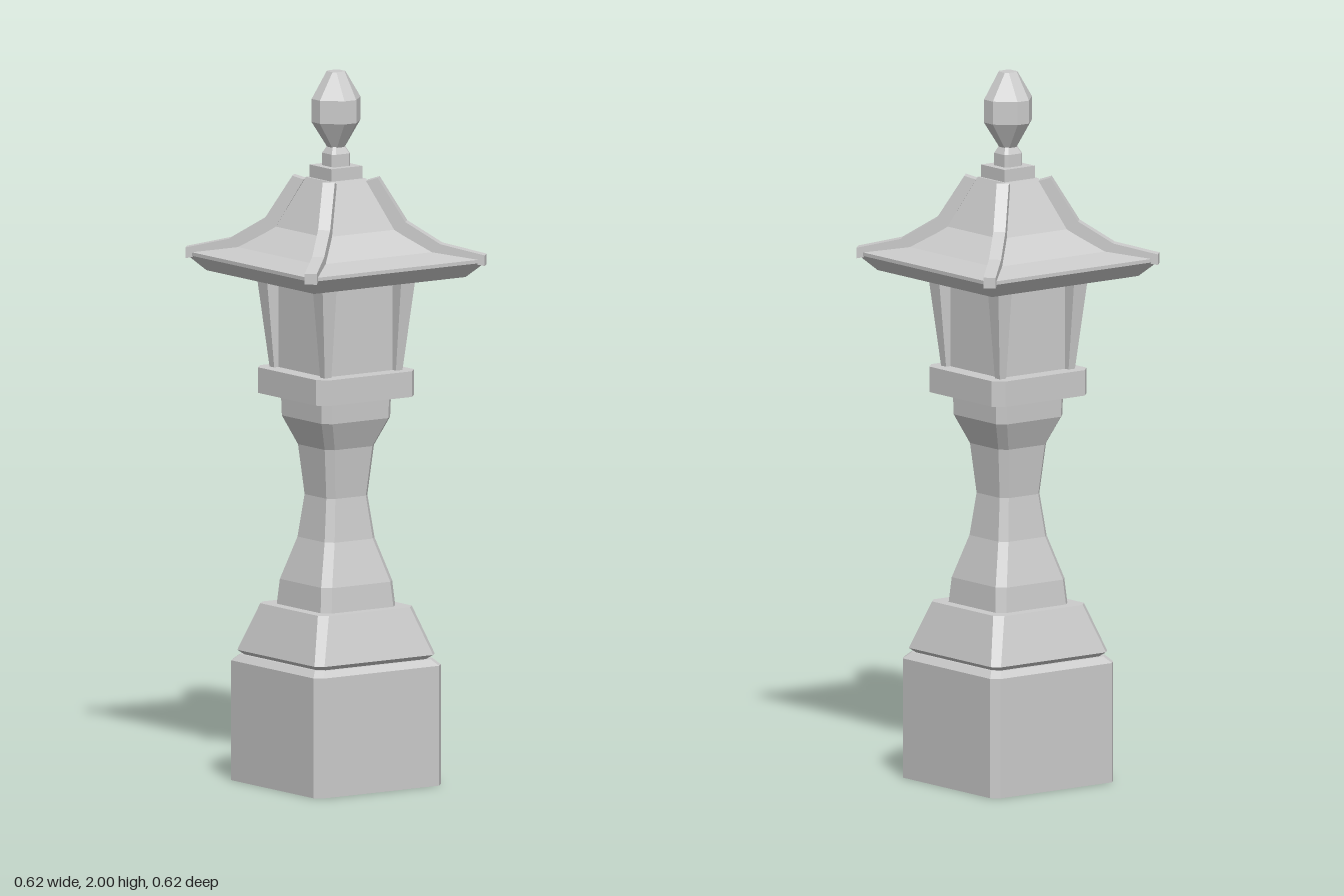
import * as THREE from 'three';

const material = new THREE.MeshStandardMaterial({ color: 0xcccccc, flatShading: true });

// Cross-section: a square of half width h, corners cut by c (c = 0 gives four corners)
function ring([y, h, c, ox = 0, oz = 0]) {
  const k = h - c;
  const pts = c > 0
    ? [[h, -k], [h, k], [k, h], [-k, h], [-h, k], [-h, -k], [-k, -h], [k, -h]]
    : [[h, -h], [h, h], [-h, h], [-h, -h]];
  return pts.map(([x, z]) => [x + ox, y, z + oz]);
}

// Closed loft through sections listed from bottom to top
function loft(name, sections) {
  const rings = sections.map(ring);
  const n = rings[0].length;
  const pos = [];
  const tri = (a, b, c) => pos.push(...a, ...b, ...c);
  for (let s = 0; s < rings.length - 1; s++) {
    const lo = rings[s], hi = rings[s + 1];
    for (let i = 0; i < n; i++) {
      const j = (i + 1) % n;
      tri(lo[i], hi[i], hi[j]);
      tri(lo[i], hi[j], lo[j]);
    }
  }
  const bottom = rings[0], top = rings[rings.length - 1];
  for (let i = 1; i < n - 1; i++) {
    tri(bottom[0], bottom[i], bottom[i + 1]);
    tri(top[0], top[i + 1], top[i]);
  }
  const geometry = new THREE.BufferGeometry();
  geometry.setAttribute('position', new THREE.Float32BufferAttribute(pos, 3));
  geometry.computeVertexNormals();
  const mesh = new THREE.Mesh(geometry, material);
  mesh.name = name;
  return mesh;
}

export function createModel() {
  const model = new THREE.Group();
  model.name = 'stoneLantern';

  // Pedestal block and its sloping plinth
  model.add(loft('pedestal', [
    [0, 0.217, 0.02], [0.337, 0.217, 0.02], [0.355, 0.2, 0.02],
  ]));
  model.add(loft('plinth', [
    [0.35, 0.185, 0.02], [0.367, 0.205, 0.02], [0.5, 0.16, 0.022],
  ]));

  // Waisted column
  model.add(loft('column', [
    [0.49, 0.128, 0.022], [0.57, 0.121, 0.022], [0.69, 0.085, 0.02], [0.81, 0.07, 0.018],
    [0.95, 0.084, 0.02], [1.03, 0.117, 0.022], [1.1, 0.119, 0.022],
  ]));

  // Collar under the lamp chamber
  model.add(loft('collar', [[1.092, 0.167, 0.027], [1.164, 0.167, 0.027]]));

  // Lamp chamber with four posts that widen upward
  model.add(loft('chamber', [[1.16, 0.117, 0], [1.44, 0.117, 0]]));
  const posts = new THREE.Group();
  posts.name = 'cornerPosts';
  for (const sx of [-1, 1]) for (const sz of [-1, 1]) {
    posts.add(loft('cornerPost', [
      [1.16, 0.011, 0, sx * 0.121, sz * 0.121],
      [1.44, 0.025, 0, sx * 0.135, sz * 0.135],
    ]));
  }
  model.add(posts);

  // Concave hipped roof with an undercut eave
  model.add(loft('roof', [
    [1.43, 0.258, 0], [1.472, 0.297, 0], [1.482, 0.297, 0],
    [1.5, 0.205, 0], [1.56, 0.128, 0], [1.7, 0.06, 0],
  ]));

  // Ridge bars along the four hips, profile in (distance along x, height)
  const profile = [
    [0.298, 1.465], [0.298, 1.495], [0.21, 1.523], [0.14, 1.583], [0.085, 1.705],
    [0.062, 1.695], [0.118, 1.56], [0.2, 1.49],
  ];
  const width = 0.034;
  const shape = new THREE.Shape(profile.map(([d, y]) => new THREE.Vector2(d * Math.SQRT2, y)));
  const ridgeGeometry = new THREE.ExtrudeGeometry(shape, { depth: width, bevelEnabled: false });
  ridgeGeometry.translate(0, 0, -width / 2);
  const ridges = new THREE.Group();
  ridges.name = 'roofRidges';
  for (let i = 0; i < 4; i++) {
    const ridge = new THREE.Mesh(ridgeGeometry, material);
    ridge.name = 'roofRidge';
    ridge.rotation.y = Math.PI / 4 + i * Math.PI / 2;
    ridges.add(ridge);
  }
  model.add(ridges);

  // Cap, neck and bud finial
  model.add(loft('roofCap', [[1.68, 0.053, 0], [1.735, 0.053, 0]]));
  model.add(loft('finialNeck', [
    [1.73, 0.031, 0.008], [1.77, 0.031, 0.008], [1.795, 0.018, 0.006],
  ]));
  model.add(loft('finialBud', [
    [1.785, 0.02, 0.008], [1.86, 0.069, 0.049], [1.925, 0.069, 0.049], [2, 0.022, 0.008],
  ]));

  return model;
}
